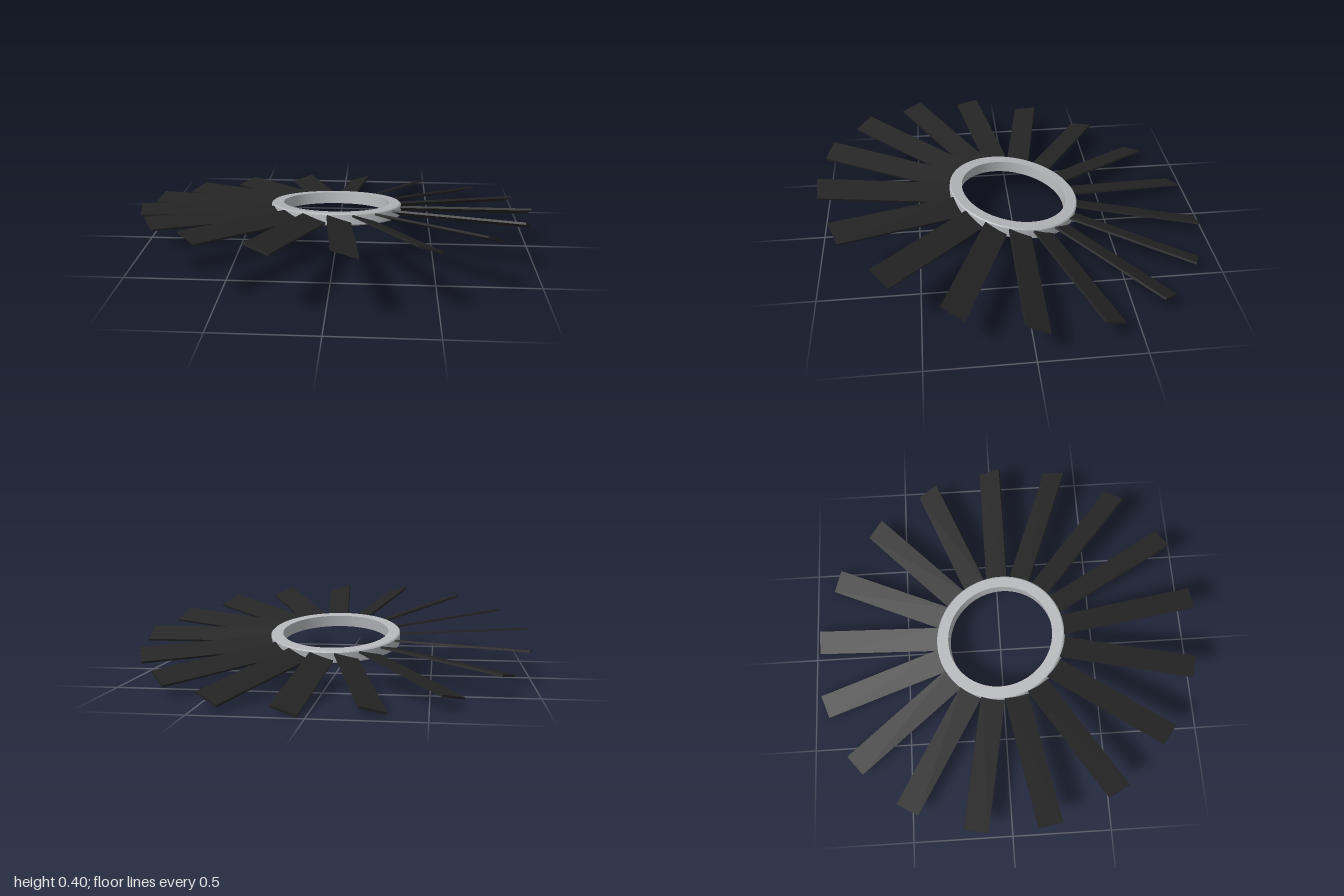
import * as THREE from 'three';
import { toCreasedNormals } from 'three/addons/utils/BufferGeometryUtils.js';

const BLADES = 17;
const TILT = THREE.MathUtils.degToRad(10);
const PITCH = THREE.MathUtils.degToRad(18);
const ROOT = 0.3, TIP = 1.0, CHORD = 0.123, THICK = 0.011;
const INNER = 0.275, OUTER = 0.337, HALF = 0.03, BEVEL = 0.006;

export function createModel() {
  const ringGrey = new THREE.MeshStandardMaterial({ name: 'ring grey', color: 0xb4b6ba });
  const bladeBlack = new THREE.MeshStandardMaterial({ name: 'blade black', color: 0x242424 });

  const model = new THREE.Group();
  model.name = 'bladedRing';

  // Everything sits on one rotor, tipped so its front edge is raised
  const rotor = new THREE.Group();
  rotor.name = 'rotor';
  rotor.position.y = 0.2;
  rotor.rotation.x = -TILT;
  model.add(rotor);

  // Hub ring: a rectangular section with a small bevel on the outer edges
  const profile = [
    [INNER, -HALF], [OUTER - BEVEL, -HALF], [OUTER, -HALF + BEVEL],
    [OUTER, HALF - BEVEL], [OUTER - BEVEL, HALF], [INNER, HALF], [INNER, -HALF],
  ].map(([r, y]) => new THREE.Vector2(r, y));
  const ringGeometry = toCreasedNormals(new THREE.LatheGeometry(profile, 96), 0.4);
  const ring = new THREE.Mesh(ringGeometry, ringGrey);
  ring.name = 'hubRing';
  rotor.add(ring);

  // Blade: a flat slat pitched about its own length, rooted inside the ring wall
  const bladeGeometry = new THREE.BoxGeometry(TIP - ROOT, THICK, CHORD)
    .rotateX(-PITCH)
    .translate((TIP + ROOT) / 2, 0, 0);

  // Blades spread evenly around the ring
  for (let i = 0; i < BLADES; i++) {
    const blade = new THREE.Mesh(bladeGeometry, bladeBlack);
    blade.name = `blade${i + 1}`;
    blade.rotation.y = (i / BLADES) * Math.PI * 2;
    rotor.add(blade);
  }

  return model;
}
